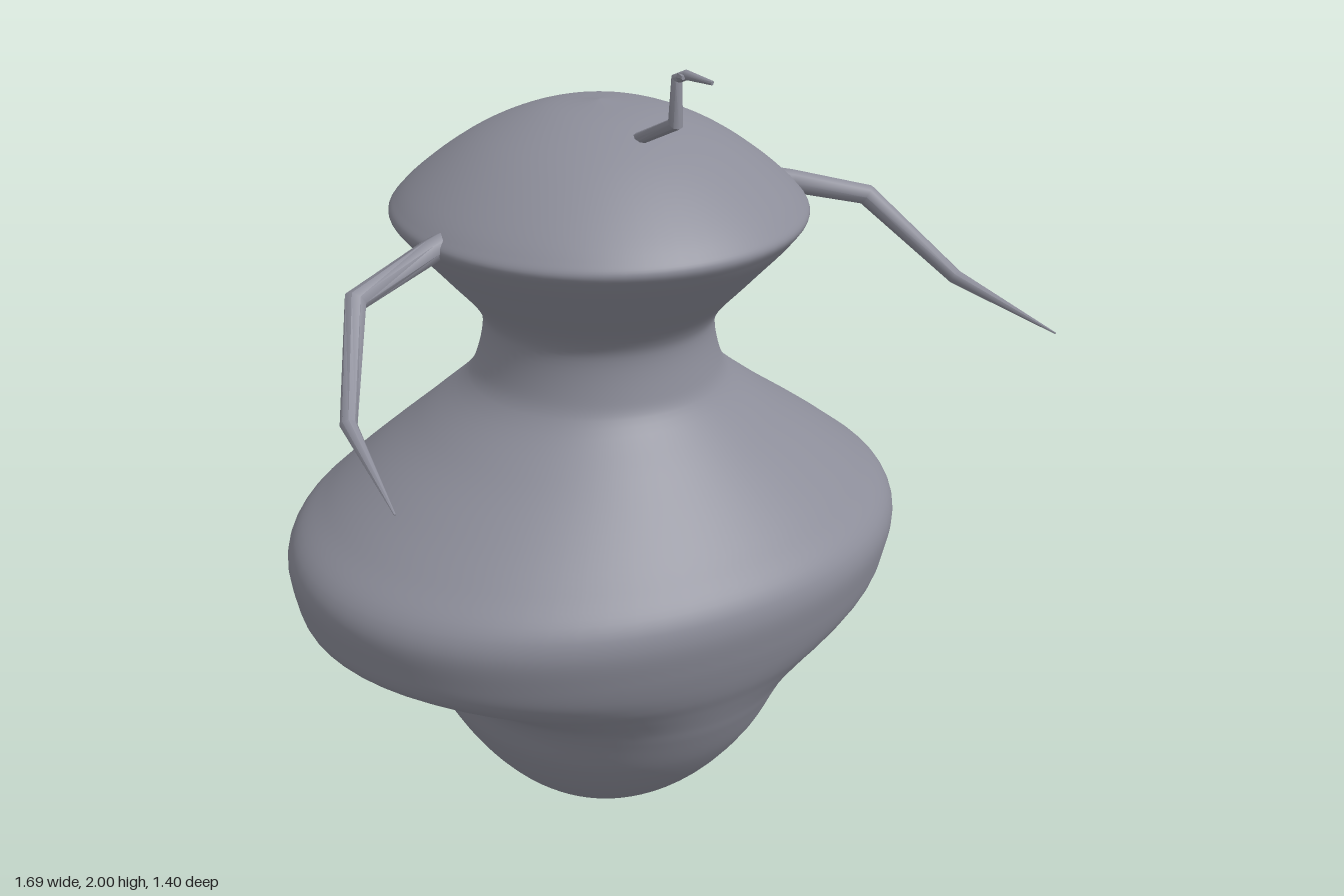
import * as THREE from 'three';
import { toCreasedNormals } from 'three/addons/utils/BufferGeometryUtils.js';

const V = (x, y, z) => new THREE.Vector3(x, y, z);

// Closed skin over rings { c, u, v }, where u x v points along the rings
function skin(rings, sides) {
  const pos = [], index = [];
  for (const { c, u, v } of rings) {
    for (let j = 0; j < sides; j++) {
      const a = (j / sides) * Math.PI * 2;
      const p = c.clone().addScaledVector(u, Math.cos(a)).addScaledVector(v, Math.sin(a));
      pos.push(p.x, p.y, p.z);
    }
  }
  const last = (rings.length - 1) * sides, start = pos.length / 3, end = start + 1;
  pos.push(...rings[0].c.toArray(), ...rings[rings.length - 1].c.toArray());
  for (let j = 0; j < sides; j++) {
    const k = (j + 1) % sides;
    for (let i = 0; i < last; i += sides) {
      index.push(i + j, i + k, i + sides + j, i + k, i + sides + k, i + sides + j);
    }
    index.push(start, k, j, end, last + j, last + k);
  }
  const g = new THREE.BufferGeometry();
  g.setAttribute('position', new THREE.Float32BufferAttribute(pos, 3));
  g.setIndex(index);
  g.computeVertexNormals();
  return g;
}

// Horizontal elliptical ring
const level = (x, y, z, rx, rz) => ({ c: V(x, y, z), u: V(0, 0, rz), v: V(rx, 0, 0) });

// Tapered, jointed limb; points are [x, y, z, radius]
function limb(points, ref, sides = 8) {
  const p = points.map((q) => V(q[0], q[1], q[2]));
  const rings = p.map((c, i) => {
    const t = V(0, 0, 0);
    if (i > 0) t.add(c.clone().sub(p[i - 1]).normalize());
    if (i < p.length - 1) t.add(p[i + 1].clone().sub(c).normalize());
    t.normalize();
    const u = ref.clone().cross(t).normalize();
    const v = t.clone().cross(u);
    return { c, u: u.multiplyScalar(points[i][3]), v: v.multiplyScalar(points[i][3]) };
  });
  return toCreasedNormals(skin(rings, sides), 0.85);
}

export function createModel() {
  const group = new THREE.Group();
  const grey = new THREE.MeshStandardMaterial({ name: 'slate grey', color: 0x8c8d99 });
  const add = (name, geometry) => {
    const mesh = new THREE.Mesh(geometry, grey);
    mesh.name = name;
    group.add(mesh);
  };

  // Body and head: one smooth shell, rows are [height, half width, half depth]
  const profile = [
    [0.005, 0.004, 0.004], [0.02, 0.1, 0.11], [0.09, 0.225, 0.245], [0.2, 0.33, 0.37],
    [0.34, 0.415, 0.475], [0.45, 0.455, 0.53], [0.5, 0.495, 0.55], [0.56, 0.6, 0.575],
    [0.61, 0.70, 0.597], [0.66, 0.765, 0.613], [0.72, 0.784, 0.628], [0.8, 0.793, 0.64],
    [0.85, 0.772, 0.63], [0.92, 0.69, 0.575], [1.0, 0.582, 0.5], [1.1, 0.44, 0.4],
    [1.2, 0.32, 0.305], [1.25, 0.293, 0.288], [1.34, 0.276, 0.277], [1.38, 0.29, 0.292],
    [1.48, 0.375, 0.378], [1.58, 0.463, 0.465], [1.615, 0.485, 0.485], [1.645, 0.465, 0.465],
    [1.72, 0.378, 0.378], [1.79, 0.268, 0.268], [1.84, 0.14, 0.14], [1.86, 0.004, 0.004],
  ];
  const curve = new THREE.CatmullRomCurve3(profile.map(([y, rx, rz]) => V(rx, y, rz)));
  const rings = curve.getPoints(160).map((p) => level(0, p.y, 0.048, p.x, p.z));
  add('body', skin(rings, 72));

  // Bent arms reaching forward
  for (const s of [1, -1]) {
    add(s > 0 ? 'leftArm' : 'rightArm', limb([
      [s * 0.42, 1.63, 0.13, 0.028], [s * 0.48, 1.615, 0.14, 0.028],
      [s * 0.68, 1.56, 0.19, 0.026], [s * 0.80, 1.39, 0.40, 0.018],
      [s * 0.843, 1.34, 0.70, 0.002],
    ], V(0, 1, 0)));
  }

  // Antenna on the brow, with a small forked tip
  add('antenna', limb([
    [-0.015, 1.80, 0.20, 0.014], [-0.015, 1.885, 0.378, 0.017],
    [-0.012, 1.98, 0.375, 0.013], [-0.005, 1.992, 0.40, 0.011], [0.018, 1.985, 0.46, 0.005],
  ], V(1, 0, 0)));
  add('antennaBarb', limb([
    [-0.012, 1.985, 0.385, 0.01], [-0.027, 1.992, 0.42, 0.004],
  ], V(0, 1, 0), 6));

  // Leaf-shaped tail on the back
  const tail = [
    [0.30, -0.668, 0.012, 0.014], [0.325, -0.658, 0.036, 0.028], [0.40, -0.622, 0.08, 0.042],
    [0.52, -0.60, 0.098, 0.046], [0.66, -0.60, 0.085, 0.04], [0.78, -0.585, 0.045, 0.026],
    [0.89, -0.55, 0.012, 0.008],
  ];
  const tailCurve = new THREE.CatmullRomCurve3(tail.map(([y, z, rz]) => V(z, y, rz)));
  const tailWidth = new THREE.CatmullRomCurve3(tail.map(([y, , , rx]) => V(rx, y, 0)));
  const tailRings = [];
  for (let i = 0; i <= 24; i++) {
    const a = tailCurve.getPoint(i / 24), w = tailWidth.getPoint(i / 24).x;
    tailRings.push(level(-0.055 + 0.03 * Math.max(0, a.y - 0.6), a.y, a.x, w, a.z));
  }
  add('tail', skin(tailRings, 16));

  return group;
}
